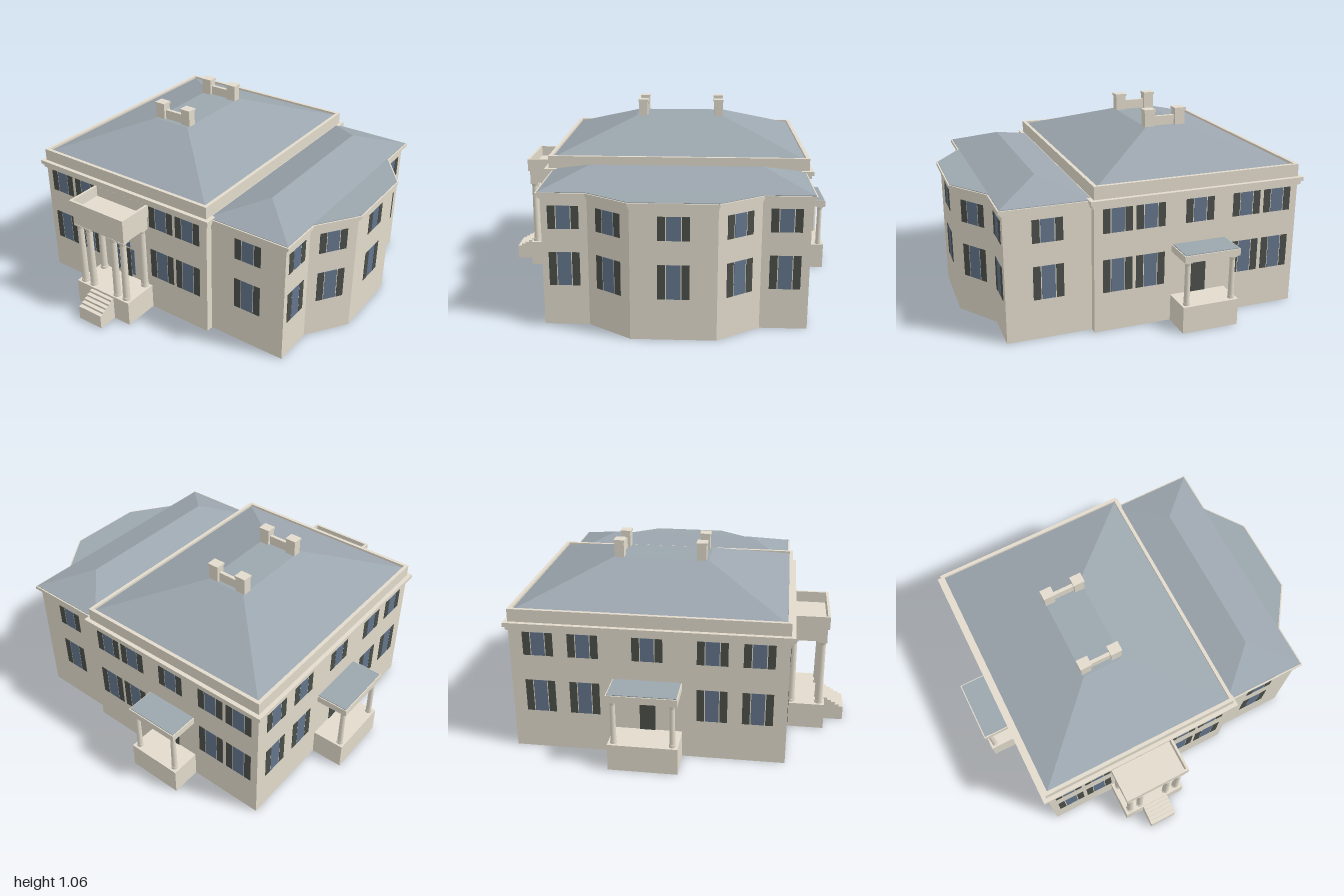
import * as THREE from 'three';

const mat = (name, color) => {
  const m = new THREE.MeshStandardMaterial({ color });
  m.name = name;
  return m;
};

export function createModel() {
  const cream = mat('cream stone', 0xe3dccd);
  const slate = mat('slate roof', 0x9ca6ae);
  const blue = mat('window glass', 0x63758c);
  const dark = mat('dark shutter', 0x4b4f49);

  const house = new THREE.Group();
  house.name = 'house';

  const add = (parent, name, geo, material, x = 0, y = 0, z = 0) => {
    const mesh = new THREE.Mesh(geo, material);
    mesh.name = name;
    mesh.position.set(x, y, z);
    parent.add(mesh);
    return mesh;
  };
  // Box given by its limits on each axis
  const box = (parent, name, material, x0, x1, y0, y1, z0, z1) =>
    add(parent, name, new THREE.BoxGeometry(x1 - x0, y1 - y0, z1 - z0), material,
      (x0 + x1) / 2, (y0 + y1) / 2, (z0 + z1) / 2);
  const rect = (x0, x1, z0, z1) => [[x0, z0], [x1, z0], [x1, z1], [x0, z1]];

  // Moves every edge of a floor plan outward by d
  const offset = (pts, d) => pts.map((p, i) => {
    const a = pts[(i + pts.length - 1) % pts.length], b = pts[(i + 1) % pts.length];
    const normal = (s, e) => new THREE.Vector2(e[1] - s[1], s[0] - e[0]).normalize();
    const n = normal(a, p), m = normal(p, b), k = d / (1 + n.dot(m));
    return [p[0] + (n.x + m.x) * k, p[1] + (n.y + m.y) * k];
  });
  // Upright prism over a floor plan, hollow when a wall thickness is given
  const prism = (parent, name, material, pts, y0, y1, wall = 0) => {
    // Reversed to run counter-clockwise, so walls of holes face inward
    const flat = (list) => list.map(([x, z]) => new THREE.Vector2(x, -z)).reverse();
    const shape = new THREE.Shape(flat(pts));
    if (wall) shape.holes.push(new THREE.Path(flat(offset(pts, -wall))));
    const geo = new THREE.ExtrudeGeometry(shape, { depth: y1 - y0, bevelEnabled: false });
    return add(parent, name, geo.rotateX(-Math.PI / 2), material, 0, y0, 0);
  };
  // Hipped roof from a base rectangle to a smaller top rectangle
  const hip = (name, base, y0, top, y1) => {
    const b = base.map(([x, z]) => [x, y0, z]), t = top.map(([x, z]) => [x, y1, z]);
    const pos = [];
    const quad = (p, q, r, s) => [p, q, r, p, r, s].forEach((v) => pos.push(...v));
    for (let i = 0; i < 4; i++) quad(b[(i + 1) % 4], b[i], t[i], t[(i + 1) % 4]);
    quad(t[0], t[3], t[2], t[1]);
    const geo = new THREE.BufferGeometry();
    geo.setAttribute('position', new THREE.Float32BufferAttribute(pos, 3));
    geo.computeVertexNormals();
    add(house, name, geo, slate);
  };

  // Main block: open-bottomed walls, cornice, parapet, roof
  const main = rect(-0.818, 0.356, -0.814, 0.653);
  prism(house, 'mainWalls', cream, main, 0, 0.7, 0.006);
  prism(house, 'mainCeiling', cream, offset(main, -0.003), 0.58, 0.6);
  prism(house, 'mainCorniceLower', cream, offset(main, 0.012), 0.695, 0.715);
  prism(house, 'mainCorniceUpper', cream, offset(main, 0.023), 0.715, 0.738);
  prism(house, 'parapet', cream, main, 0.738, 0.808, 0.02);
  hip('mainRoof', offset(main, -0.015), 0.793, rect(-0.35, -0.115, -0.34, 0.19), 0.959);

  // Side wing with a three-sided bay
  const wing = [[0.35, -0.775], [0.815, -0.775], [0.815, -0.525], [0.975, -0.3],
    [0.975, 0.14], [0.815, 0.37], [0.815, 0.61], [0.35, 0.61]];
  prism(house, 'wingWalls', cream, wing, 0, 0.7, 0.006);
  prism(house, 'wingCeiling', cream, offset(wing, -0.003), 0.58, 0.6);
  prism(house, 'wingCorniceLower', cream, offset(wing, 0.01), 0.697, 0.712);
  prism(house, 'wingCorniceUpper', cream, offset(wing, 0.022), 0.712, 0.73);
  prism(house, 'bayRoof', slate, offset(wing, 0.014), 0.73, 0.733);
  hip('wingRoof', rect(0.345, 0.828, -0.784, 0.619), 0.733, rect(0.585, 0.587, -0.54, 0.385), 0.818);

  // Paired chimneys joined by a low wall
  for (const z of [-0.31, 0.15]) {
    for (const x of [-0.325, -0.141]) {
      box(house, 'chimney', cream, x - 0.03, x + 0.03, 0.9, 1.043, z - 0.026, z + 0.026);
      box(house, 'chimneyCap', cream, x - 0.034, x + 0.034, 1.043, 1.057, z - 0.03, z + 0.03);
    }
    box(house, 'chimneyLink', cream, -0.3, -0.16, 0.9, 1.013, z - 0.01, z + 0.01);
  }

  // A shuttered window; ry turns it to face out of its wall
  const shutteredWindow = (x, z, ry, y0, y1) => {
    const g = new THREE.Group();
    g.name = 'window';
    box(g, 'glass', blue, -0.036, 0.036, y0, y1, -0.002, 0.002);
    for (const s of [-1, 1])
      add(g, 'shutter', new THREE.BoxGeometry(0.04, y1 - y0, 0.005), dark, s * 0.061, (y0 + y1) / 2, 0);
    g.position.set(x, 0, z);
    g.rotation.y = ry;
    house.add(g);
  };
  const LOW = [0.222, 0.406], HIGH = [0.552, 0.684], WING_HIGH = [0.533, 0.658];
  const PI = Math.PI;
  for (const [z, ry] of [[0.653, 0], [-0.814, PI]]) {
    for (const x of [-0.695, -0.51, 0.045, 0.227]) {
      shutteredWindow(x, z, ry, ...LOW);
      shutteredWindow(x, z, ry, ...HIGH);
    }
    shutteredWindow(-0.235, z, ry, ...HIGH);
  }
  for (const z of [-0.66, -0.42, 0.26, 0.5]) {
    shutteredWindow(-0.818, z, -PI / 2, ...LOW);
    shutteredWindow(-0.818, z, -PI / 2, ...HIGH);
  }
  shutteredWindow(-0.818, -0.08, -PI / 2, ...HIGH);
  const bayTurn = Math.atan2(0.23, 0.16), bayBack = Math.atan2(0.225, -0.16);
  for (const [x, z, ry] of [[0.587, 0.61, 0], [0.587, -0.775, PI], [0.815, 0.495, PI / 2],
    [0.895, 0.255, bayTurn], [0.975, -0.08, PI / 2], [0.895, -0.4125, bayBack], [0.815, -0.65, PI / 2]]) {
    shutteredWindow(x, z, ry, ...LOW);
    shutteredWindow(x, z, ry, ...WING_HIGH);
  }

  // Tapered column with round base and square capital
  const column = (parent, x, z, y0, y1, r) => {
    const g = new THREE.Group();
    g.name = 'column';
    const h = y1 - y0;
    add(g, 'shaft', new THREE.CylinderGeometry(r * 0.85, r, h, 16), cream, 0, h / 2, 0);
    add(g, 'base', new THREE.CylinderGeometry(r * 1.12, r * 1.15, 0.015, 16), cream, 0, 0.0075, 0);
    add(g, 'neck', new THREE.CylinderGeometry(r * 1.1, r * 0.85, 0.018, 16), cream, 0, h - 0.019, 0);
    add(g, 'capital', new THREE.BoxGeometry(r * 2.3, 0.01, r * 2.3), cream, 0, h - 0.005, 0);
    g.position.set(x, y0, z);
    parent.add(g);
  };
  const openBase = (parent, pts) => {
    prism(parent, 'porchBase', cream, pts, 0, 0.15, 0.006);
    prism(parent, 'porchFloor', cream, offset(pts, -0.003), 0.14, 0.15);
  };

  // Front portico with balcony, columns and steps
  const portico = new THREE.Group();
  portico.name = 'portico';
  house.add(portico);
  const deck = rect(-0.429, -0.039, 0.645, 0.865);
  openBase(portico, deck);
  prism(portico, 'entablature', cream, offset(deck, -0.01), 0.54, 0.615);
  prism(portico, 'balconyFloor', cream, deck, 0.615, 0.627);
  prism(portico, 'balconyParapet', cream, deck, 0.627, 0.69, 0.014);
  for (const x of [-0.392, -0.325, -0.145, -0.076]) column(portico, x, 0.833, 0.15, 0.54, 0.021);
  for (const x of [-0.392, -0.076]) column(portico, x, 0.675, 0.15, 0.54, 0.021);
  for (let i = 0; i < 5; i++)
    box(portico, 'step', cream, -0.315, -0.15, 0, 0.137 - i * 0.0135, 0.86, 0.886 + i * 0.0235);

  // Front entrance with transom and sidelights
  box(house, 'frontDoor', dark, -0.277, -0.191, 0.15, 0.345, 0.652, 0.656);
  box(house, 'transom', blue, -0.277, -0.191, 0.355, 0.392, 0.652, 0.655);
  for (const x of [-0.293, -0.175])
    box(house, 'sidelight', blue, x - 0.012, x + 0.012, 0.17, 0.345, 0.652, 0.655);

  // Small porches on the side and back, built facing +z from the wall
  const porch = (name, x, z, ry, width, depth) => {
    const g = new THREE.Group();
    g.name = name;
    const w = width / 2, plan = rect(-w, w, -0.005, depth);
    openBase(g, plan);
    prism(g, 'porchBeam', cream, plan, 0.4, 0.438);
    prism(g, 'porchRoof', slate, offset(plan, -0.006), 0.438, 0.442);
    for (const s of [-1, 1]) column(g, s * (w - 0.03), depth - 0.03, 0.15, 0.4, 0.016);
    box(g, 'porchDoor', dark, -0.042, 0.042, 0.15, 0.34, 0, 0.004);
    box(g, 'porchTransom', blue, -0.042, 0.042, 0.35, 0.385, 0, 0.003);
    g.position.set(x, 0, z);
    g.rotation.y = ry;
    house.add(g);
  };
  porch('sidePorch', -0.818, -0.082, -PI / 2, 0.37, 0.182);
  porch('backPorch', -0.235, -0.814, PI, 0.318, 0.168);

  return house;
}
